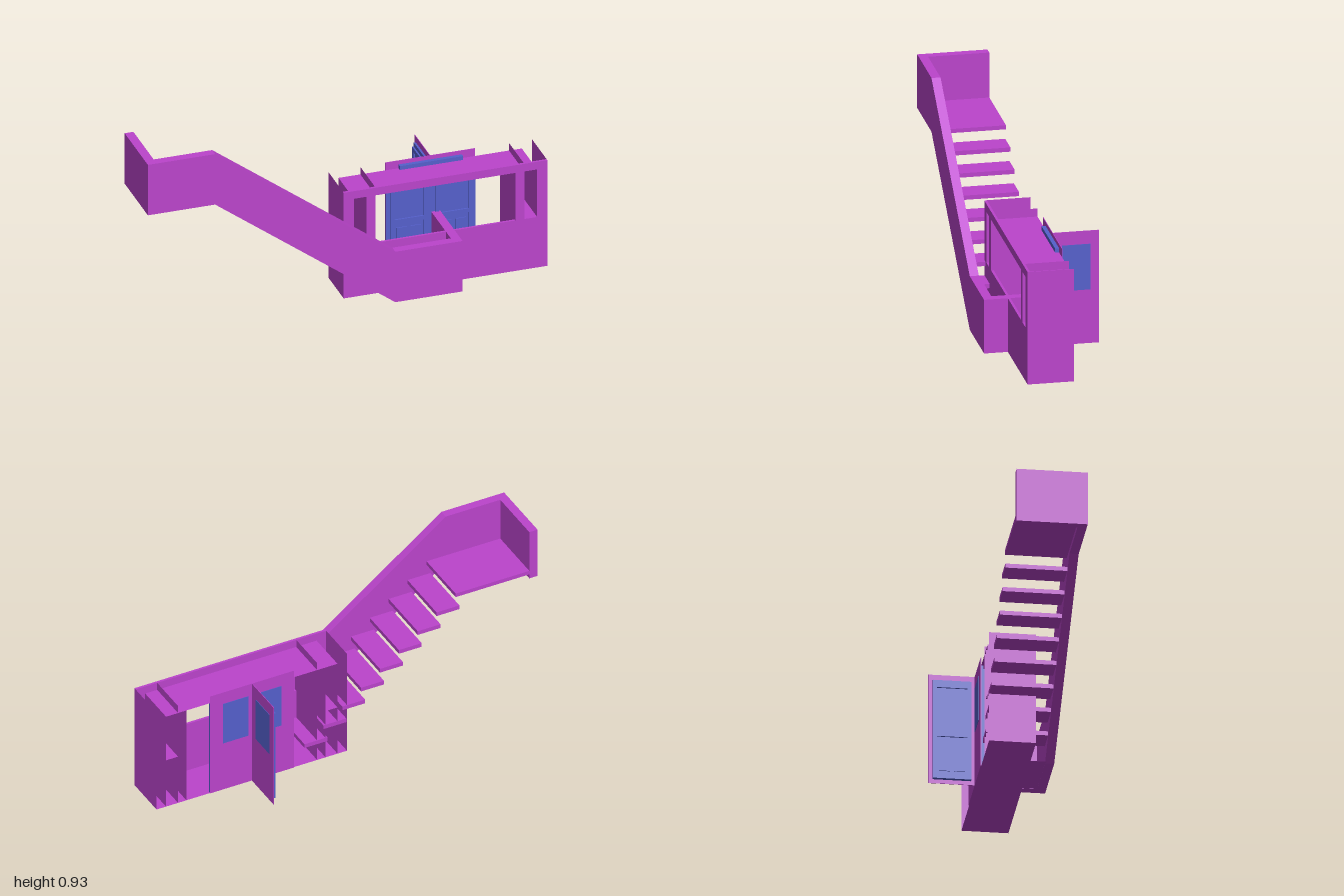
import * as THREE from 'three';

export function createModel() {
  const model = new THREE.Group();
  const purple = new THREE.MeshStandardMaterial({ color: 0xbb44cc, side: THREE.DoubleSide });
  const blue = new THREE.MeshStandardMaterial({ color: 0x5560cc, side: THREE.DoubleSide });

  // Box given by its minimum and maximum corners
  function box(name, x0, x1, y0, y1, z0, z1, material = purple, parent = model) {
    const mesh = new THREE.Mesh(new THREE.BoxGeometry(x1 - x0, y1 - y0, z1 - z0), material);
    mesh.position.set((x0 + x1) / 2, (y0 + y1) / 2, (z0 + z1) / 2);
    mesh.name = name;
    parent.add(mesh);
    return mesh;
  }

  // Upright sheet across the porch at a given x
  function sheet(name, x, y0, y1, z0, z1) {
    const mesh = new THREE.Mesh(new THREE.PlaneGeometry(z1 - z0, y1 - y0), purple);
    mesh.rotation.y = Math.PI / 2;
    mesh.position.set(x, (y0 + y1) / 2, (z0 + z1) / 2);
    mesh.name = name;
    model.add(mesh);
  }

  // Flat sheet at a given height
  function slab(name, x0, x1, y, z0, z1) {
    const mesh = new THREE.Mesh(new THREE.PlaneGeometry(x1 - x0, z1 - z0), purple);
    mesh.rotation.x = -Math.PI / 2;
    mesh.position.set((x0 + x1) / 2, y, (z0 + z1) / 2);
    mesh.name = name;
    model.add(mesh);
  }

  function extrude(name, shape, depth, z) {
    const geometry = new THREE.ExtrudeGeometry(shape, { depth, bevelEnabled: false });
    const mesh = new THREE.Mesh(geometry, purple);
    mesh.position.z = z;
    mesh.name = name;
    model.add(mesh);
  }

  const polygon = (points) => new THREE.Shape(points.map(([x, y]) => new THREE.Vector2(x, y)));
  const rectangle = (x0, x1, y0, y1) => [[x0, y0], [x1, y0], [x1, y1], [x0, y1]];
  const back = -0.055, front = 0.165, top = 0.555;

  // Sloping parapet with its end walls
  extrude('stairParapet', polygon([
    [-1, 0.665], [-0.67, 0.665], [0.215, 0], [0.545, 0], [0.545, 0.265],
    [0.215, 0.265], [-0.67, 0.93], [-1, 0.93],
  ]), 0.043, 0.235);
  box('landingEndWall', -1, -0.957, 0.665, 0.93, back, 0.235);
  box('lowerEndWall', 0.502, 0.545, 0, 0.265, back, 0.235);

  // Landing and open treads
  box('landingFloor', -0.957, -0.57, 0.688, 0.708, back, 0.235);
  for (let i = 0; i < 8; i++) {
    const x = -0.47 + i * 0.099;
    const y = 0.634 - i * 0.0746;
    box('tread', x - 0.12, x, y - 0.021, y, back, 0.235);
  }

  // Porch front wall with three windows
  const wall = polygon(rectangle(0, 1, 0, top));
  for (const [x0, x1] of [[0.05, 0.113], [0.157, 0.843], [0.887, 0.95]]) {
    wall.holes.push(polygon(rectangle(x0, x1, 0.265, 0.515)));
  }
  extrude('porchFrontWall', wall, 0.012, front - 0.012);

  // Porch floor, roof and side sheets
  slab('porchFloor', 0, 1, 0, back, front);
  slab('stairFootFloor', 0.2, 0.545, 0.001, front, 0.24);
  slab('porchRoof', 0.05, 0.95, 0.515, back, front);
  for (const x of [0, 0.157, 0.887, 1]) sheet('porchSideSheet', x, 0, top, back, front);
  for (const x of [0.05, 0.113, 0.843, 0.95]) sheet('porchInnerSheet', x, 0, 0.515, back, front);
  slab('leftSill', 0.887, 0.95, 0.265, back, front);
  slab('rightSill', 0.05, 0.113, 0.265, back, front);

  // Raised frame and panels for one door leaf, facing +z, centred on x = 0
  function doorTrim(parent) {
    for (const side of [-1, 1]) {
      const c = side * 0.081;
      box('doorStile', c - 0.009, c + 0.009, 0.02, 0.5, 0.01, 0.018, blue, parent);
      box('lowerDoorPanel', side * 0.035 - 0.026, side * 0.035 + 0.026, 0.06, 0.21, 0.01, 0.015, blue, parent);
    }
    for (const y of [0.02, 0.235, 0.485]) {
      box('doorRail', -0.09, 0.09, y, y + 0.02, 0.01, 0.018, blue, parent);
    }
  }

  // Closed pair of doors in the back of the porch
  box('doorBacking', 0.28, 0.72, 0, top, back - 0.003, back);
  box('doorFace', 0.28, 0.72, 0.003, 0.514, back, back + 0.01, blue);
  box('doorHeader', 0.345, 0.655, 0.51, 0.535, back, back + 0.019, blue);
  for (const x of [0.39, 0.61]) {
    const trim = new THREE.Group();
    trim.name = 'doorTrim';
    trim.position.set(x, 0, back);
    doorTrim(trim);
    model.add(trim);
  }
  for (const [x0, x1] of [[0.347, 0.48], [0.52, 0.653]]) {
    box('doorWindow', x0, x1, 0.265, 0.49, back - 0.005, back - 0.001, blue);
  }

  // Third leaf standing square to the others
  box('openDoorBacking', 0.498, 0.501, 0, top, -0.275, back - 0.003);
  box('openDoorWindow', 0.5, 0.503, 0.265, 0.49, -0.235, -0.1, blue);
  const leaf = new THREE.Group();
  leaf.name = 'openDoor';
  leaf.rotation.y = -Math.PI / 2;
  leaf.position.set(0.498, 0, -0.165);
  box('openDoorFace', -0.09, 0.09, 0.02, 0.525, 0, 0.01, blue, leaf);
  doorTrim(leaf);
  model.add(leaf);

  return model;
}
